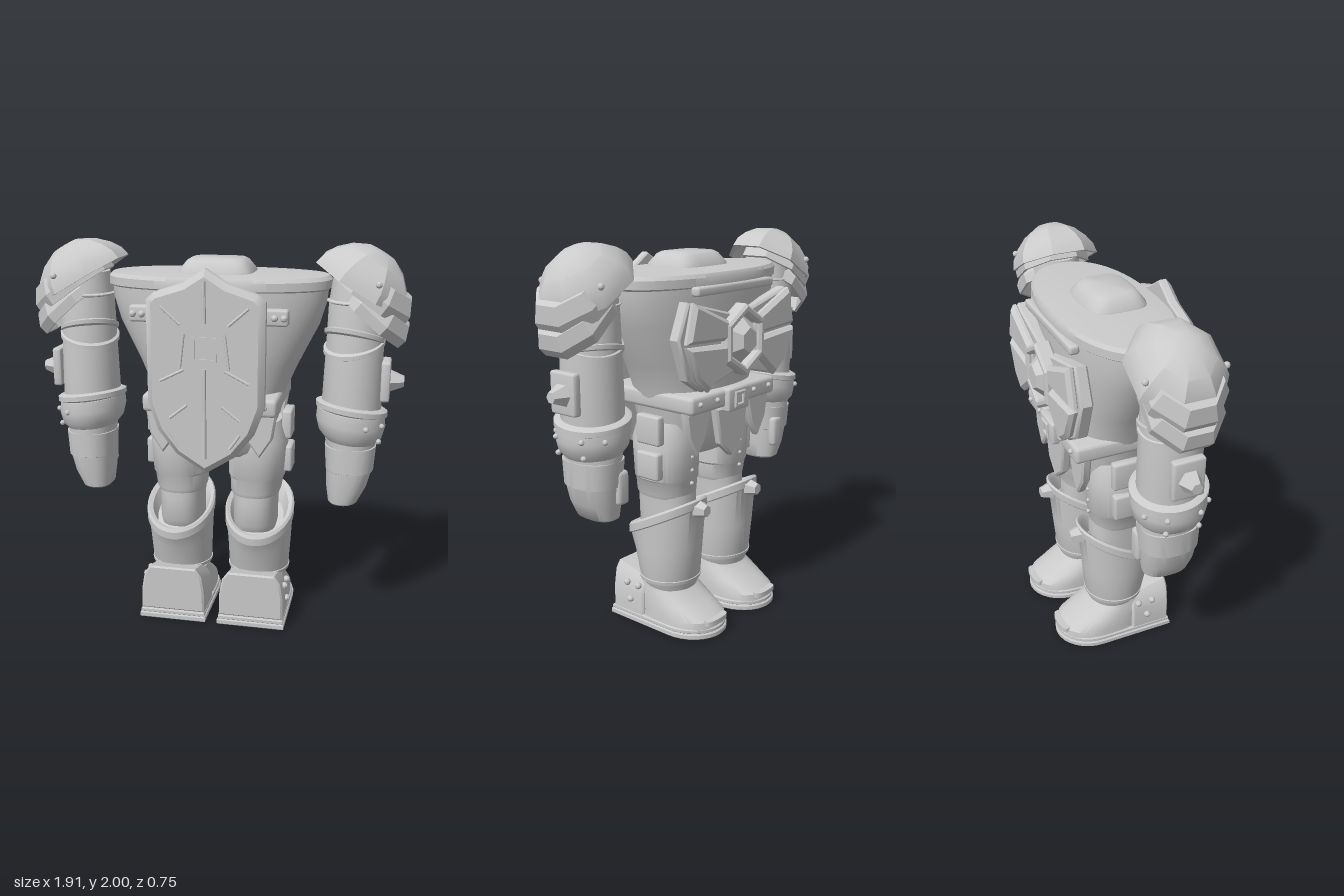
import * as THREE from 'three';
import { toCreasedNormals } from 'three/addons/utils/BufferGeometryUtils.js';
import { RoundedBoxGeometry } from 'three/addons/geometries/RoundedBoxGeometry.js';

const steel = new THREE.MeshStandardMaterial({ color: 0xcacaca });
steel.name = 'steel';

// Skin of stacked superellipse rings [y, rx, rz, cx, cz, tz]; tx, tz slope the rings
function loft(rings, { n = 40, p = 2, tx = 0, tz = 0, phase = 0 } = {}) {
  const pos = [], idx = [];
  const bend = v => Math.sign(v) * Math.abs(v) ** (2 / p);
  for (const [y, rx, rz, cx = 0, cz = 0, slope = tz] of rings) {
    for (let j = 0; j < n; j++) {
      const a = phase + j / n * Math.PI * 2;
      const x = rx * bend(Math.cos(a)), z = rz * bend(Math.sin(a));
      pos.push(cx + x, y + tx * x + slope * z, cz + z);
    }
  }
  for (let i = 0; i < rings.length - 1; i++) {
    for (let j = 0; j < n; j++) {
      const a = i * n + j, b = i * n + (j + 1) % n;
      idx.push(a, a + n, b, b, a + n, b + n);
    }
  }
  const last = rings.length - 1;
  for (const i of [0, last]) {
    const [y, , , cx = 0, cz = 0] = rings[i], c = pos.length / 3;
    pos.push(cx, y, cz);
    for (let j = 0; j < n; j++) {
      const a = i * n + j, b = i * n + (j + 1) % n;
      idx.push(c, ...(i ? [b, a] : [a, b]));
    }
  }
  const g = new THREE.BufferGeometry();
  g.setAttribute('position', new THREE.Float32BufferAttribute(pos, 3));
  g.setIndex(idx);
  return g;
}

// Bevelled plate with its outline in x,y, filling z0..z1
function plate(points, z0, z1, bevel = 0.01, holes = []) {
  const s = new THREE.Shape(points.map(q => new THREE.Vector2(...q)));
  for (const h of holes) s.holes.push(new THREE.Path(h.map(q => new THREE.Vector2(...q))));
  return new THREE.ExtrudeGeometry(s, {
    depth: z1 - z0 - 2 * bevel, bevelEnabled: bevel > 0, bevelSize: bevel,
    bevelThickness: bevel, bevelSegments: 1, bevelOffset: -bevel, curveSegments: 16,
  }).translate(0, 0, z0 + bevel);
}

const box = (w, h, d, x, y, z, r = 0.012) => new RoundedBoxGeometry(w, h, d, 2, r).translate(x, y, z);
const rivet = (x, y, z, r = 0.014) => new THREE.SphereGeometry(r, 10, 8).translate(x, y, z);
const mirrored = pts => [...pts, ...pts.slice().reverse().filter(q => q[0] > 0).map(([x, y]) => [-x, y])];
const square = r => [[-r, -r], [r, -r], [r, r], [-r, r]];
const ngon = (n, r, sy = 1) => Array.from({ length: n }, (_, i) => {
  const a = i / n * Math.PI * 2 + Math.PI / 2;
  return [r * Math.cos(a), r * sy * Math.sin(a)];
});

function flipX(g) {
  const a = g.attributes.position, v = new THREE.Vector3(), w = new THREE.Vector3();
  for (let i = 0; i < a.count; i += 3) {
    v.fromBufferAttribute(a, i + 1); w.fromBufferAttribute(a, i + 2);
    a.setXYZ(i + 1, w.x, w.y, w.z); a.setXYZ(i + 2, v.x, v.y, v.z);
  }
  for (let i = 0; i < a.count; i++) a.setX(i, -a.getX(i));
}

export function createModel() {
  const model = new THREE.Group();
  model.name = 'armouredFigure';

  const add = (name, geo, crease = 0.6, flip = false) => {
    const g = geo.index ? geo.toNonIndexed() : geo.clone();
    for (const k of Object.keys(g.attributes)) if (k !== 'position') g.deleteAttribute(k);
    g.clearGroups();
    if (flip) flipX(g);
    const m = new THREE.Mesh(toCreasedNormals(g, crease), steel);
    m.name = name;
    model.add(m);
  };
  const pair = (name, geo, crease) => {
    add('left' + name, geo, crease);
    add('right' + name, geo, crease, true);
  };

  // Torso, collar rim and neck
  add('torso', loft([[1.13, 0.32, 0.23], [1.25, 0.345, 0.235], [1.4, 0.41, 0.25], [1.6, 0.51, 0.265],
    [1.72, 0.545, 0.27], [1.78, 0.55, 0.27]], { n: 56, p: 2.3 }));
  add('collarRim', loft([[1.775, 0.55, 0.265], [1.785, 0.567, 0.277], [1.825, 0.567, 0.277], [1.843, 0.55, 0.265],
    [1.855, 0.3, 0.16]], { n: 56, p: 2.3 }));
  add('neck', loft([[1.84, 0.19, 0.155, 0, 0.03], [1.865, 0.185, 0.15, 0, 0.03], [1.91, 0.15, 0.115, 0, 0.03],
    [1.922, 0.13, 0.095, 0, 0.03]], { p: 4 }));

  // Shield on the +z side with bevelled edge and raised bars
  const outline = mirrored([[0, 0.89], [0.15, 0.985], [0.24, 1.1], [0.29, 1.24], [0.29, 1.75], [0.25, 1.785],
    [0.11, 1.83], [0, 1.9]]);
  add('shield', plate(outline, 0.3, 0.37, 0.03));
  add('shieldBack', plate(outline, 0.3, 0.34, 0.008));
  const bar = (x, y, len, a = 0, w = 0.014) => add('shieldBar',
    new THREE.CylinderGeometry(w / 2, w / 2, len, 8).rotateZ(a).translate(x, y, 0.37));
  bar(0, 1.745, 0.2, 0, 0.02); bar(0, 1.2, 0.45, 0, 0.02);
  for (const s of [1, -1]) {
    bar(s * 0.165, 1.68, 0.13, -s * 0.85);
    bar(s * 0.11, 1.51, 0.17, s * 0.12);
    bar(s * 0.16, 1.39, 0.13, s * 1.1);
    bar(s * 0.13, 1.21, 0.11, s * 0.9);
    bar(s * 0.15, 1.07, 0.09, -s * 0.6);
  }
  add('shieldSquare', plate(square(0.06), 0.368, 0.377, 0, [square(0.046)]).translate(0, 1.52, 0));
  add('shieldStrap', box(0.78, 0.08, 0.06, 0, 1.67, 0.27));
  for (const x of [0.325, 0.37]) pair('StrapRivet', rivet(x, 1.67, 0.3, 0.017));

  // Chest emblem on the -z side: backing, two wings, framed gem
  add('emblemBacking', plate(mirrored([[0, 1.36], [0.28, 1.29], [0.39, 1.36], [0.46, 1.56], [0.39, 1.73], [0, 1.63]]),
    -0.305, -0.24));
  pair('UpperWing', plate([[0.1, 1.52], [0.43, 1.54], [0.38, 1.73], [0.1, 1.61]], -0.345, -0.29, 0.02));
  pair('LowerWing', plate([[0.1, 1.43], [0.27, 1.29], [0.36, 1.36], [0.43, 1.525], [0.1, 1.505]], -0.345, -0.29, 0.02));
  add('gemFrame', plate(ngon(6, 0.17, 1.05), -0.355, -0.27, 0.012, [ngon(6, 0.125, 1.05)]).translate(0, 1.51, 0));
  add('chestGem', new THREE.CylinderGeometry(0.06, 0.125, 0.07, 6).rotateX(-Math.PI / 2)
    .scale(1, 1.05, 1).translate(0, 1.51, -0.335), 0.1);
  add('chestBar', box(0.6, 0.045, 0.05, 0, 1.765, -0.265));

  // Belt, buckle and pelvis
  add('belt', box(0.68, 0.09, 0.57, 0, 1.22, 0, 0.02));
  add('buckle', box(0.17, 0.12, 0.05, 0, 1.21, -0.285));
  add('buckleFrame', plate(square(0.04), -0.32, -0.3, 0.004, [square(0.022)]).translate(0, 1.21, 0));
  for (const x of [0.15, 0.28]) for (const z of [-0.287, 0.287]) pair('BeltRivet', rivet(x, 1.225, z));
  add('pelvis', loft([[0.925, 0.25, 0.17], [0.95, 0.275, 0.195], [1.06, 0.3, 0.22], [1.2, 0.33, 0.24]], { p: 2.6 }));
  add('frontTasset', plate(mirrored([[0, 0.9], [0.09, 0.98], [0.13, 1.17]]), -0.27, -0.22));
  for (const z of [-0.25, 0.19])
    pair('HipTasset', plate([[0.15, 1.18], [0.19, 1.03], [0.25, 0.95], [0.315, 1.05], [0.335, 1.18]], z, z + 0.05));

  // Arms, tilted wraps and cuffs
  pair('Arm', loft([[0.99, 0.125, 0.15, 0.69, 0.035], [1.2, 0.15, 0.155, 0.685, 0.035], [1.5, 0.142, 0.147, 0.69, 0.03],
    [1.72, 0.135, 0.14, 0.69, 0.03], [1.84, 0.118, 0.12, 0.69, 0.03]]));
  const band = (name, y, h, rx, rz, tx, tz) => pair(name, loft([[y, rx - 0.02, rz - 0.02, 0.687, 0.033],
    [y + 0.01, rx, rz, 0.687, 0.033], [y + h - 0.01, rx, rz, 0.687, 0.033],
    [y + h, rx - 0.02, rz - 0.02, 0.687, 0.033]], { tx, tz }));
  band('ShoulderSeam', 1.715, 0.025, 0.142, 0.147, 0, 0);
  band('UpperWrap', 1.53, 0.04, 0.15, 0.157, -0.15, 0.3);
  band('LowerWrap', 1.49, 0.04, 0.152, 0.159, 0.15, -0.25);
  pair('Cuff', loft([[1.02, 0.125, 0.145, 0.685, 0.035], [1.06, 0.16, 0.175, 0.685, 0.035],
    [1.12, 0.175, 0.185, 0.685, 0.035], [1.18, 0.17, 0.18, 0.685, 0.035]], { tx: -0.12 }));
  band('CuffBand', 1.165, 0.045, 0.18, 0.188, -0.14, 0.08);
  for (const z of [-0.05, 0.12]) for (const y of [1.04, 1.12]) pair('CuffRivet', rivet(y > 1.1 ? 0.843 : 0.832, y, z));
  for (const z of [-0.13, 0.2]) pair('CuffSideRivet', rivet(0.77, 1.12, z));
  pair('ArmPlate', box(0.045, 0.2, 0.16, 0.85, 1.34, 0.035));
  pair('ArmStud', new THREE.CylinderGeometry(0.028, 0.058, 0.07, 6).rotateZ(-Math.PI / 2)
    .translate(0.905, 1.335, 0.035), 0.1);

  // Mitten hands with thumbs
  pair('Hand', loft([[0.69, 0.065, 0.1, 0.66, 0.04], [0.7, 0.077, 0.115, 0.663, 0.04], [0.78, 0.103, 0.13, 0.677, 0.04],
    [0.87, 0.116, 0.138, 0.687, 0.04], [0.872, 0.121, 0.144, 0.69, 0.038], [1.0, 0.13, 0.15, 0.69, 0.035]], { p: 2.4 }));
  pair('Thumb', box(0.075, 0.17, 0.05, 0.635, 0.86, -0.09, 0.02));

  // Faceted pauldrons: tilted dome over two hollow lames
  const facets = { n: 8, phase: Math.PI / 8 };
  const shell = (name, rings, tilt, x, y) => pair(name, loft(rings.map(([h, r]) => [h, r, r * 0.87]), facets)
    .rotateZ(-tilt).translate(x, y, 0.03), 0.5);
  shell('PauldronDome', [[0.12, 0.14], [0.08, 0.2], [0, 0.245], [0, 0.262], [0.05, 0.25], [0.1, 0.215], [0.155, 0.155],
    [0.195, 0.075], [0.2, 0.02]], 0.53, 0.702, 1.793);
  shell('UpperLame', [[0.1, 0.18], [0, 0.21], [0, 0.228], [0.06, 0.228], [0.13, 0.18]], 0.61, 0.742, 1.735);
  shell('LowerLame', [[0.08, 0.18], [0, 0.2], [0, 0.216], [0.05, 0.22], [0.11, 0.18]], 0.72, 0.75, 1.645);
  for (const z of [-0.16, 0.22]) pair('PauldronRivet', rivet(0.8, 1.83, z, 0.016));

  // Thighs, knees and hip pouches
  pair('Thigh', loft([[0.7, 0.125, 0.15, 0.2, 0.005], [0.72, 0.133, 0.157, 0.2, 0.005], [0.79, 0.14, 0.16, 0.205, 0],
    [0.8, 0.148, 0.165, 0.205, 0], [1.0, 0.155, 0.17, 0.21, 0], [1.1, 0.13, 0.15, 0.2, 0]], { p: 2.3 }));
  pair('Knee', loft([[0.5, 0.11, 0.13, 0.2, 0], [0.54, 0.116, 0.15, 0.2, 0], [0.66, 0.116, 0.155, 0.2, 0],
    [0.74, 0.125, 0.15, 0.2, 0]], { p: 2.4 }));
  for (const y of [0.78, 0.85, 0.92]) pair('ThighRivet', rivet(0.2, y, -0.166, 0.011));
  pair('HipPouch', box(0.05, 0.15, 0.15, 0.36, 1.075, -0.03));
  pair('ThighPouch', box(0.05, 0.14, 0.14, 0.365, 0.89, -0.03));

  // Greaves: hollow at the sloping top, with a raised rim and hexagonal knee stud
  pair('Greave', loft([[0.21, 0.14, 0.14, 0.215, -0.03, 0], [0.25, 0.157, 0.15, 0.215, -0.03, 0],
    [0.27, 0.162, 0.157, 0.215, -0.03, 0], [0.42, 0.17, 0.18, 0.217, -0.025, -0.18],
    [0.555, 0.178, 0.205, 0.217, -0.018, -0.5], [0.56, 0.185, 0.215, 0.217, -0.016, -0.5],
    [0.6, 0.185, 0.218, 0.217, -0.016, -0.5], [0.612, 0.175, 0.208, 0.217, -0.016, -0.5],
    [0.6, 0.155, 0.185, 0.215, -0.016, -0.5], [0.53, 0.13, 0.16, 0.215, -0.016, -0.5]]));
  pair('AnkleBand', loft([[0.245, 0.15, 0.145, 0.215, -0.03], [0.25, 0.164, 0.158, 0.215, -0.03],
    [0.268, 0.167, 0.161, 0.215, -0.03], [0.273, 0.155, 0.15, 0.215, -0.03]]));
  pair('KneeStud', new THREE.CylinderGeometry(0.03, 0.05, 0.06, 6).rotateX(-Math.PI / 2)
    .translate(0.215, 0.66, -0.25), 0.1);

  // Boots: sole layers, square heel guard, sloping rounded toe
  const soleShape = (w, back, front) => {
    const pts = [[-w, -back], [w, -back]];
    for (let i = 0; i <= 16; i++) {
      const a = i / 16 * Math.PI;
      pts.push([w * Math.cos(a), front - 0.2 + 0.2 * Math.sin(a)]);
    }
    return pts;
  };
  const sole = (w, back, front, y0, y1) => plate(soleShape(w, back, front), y0, y1, 0.005)
    .rotateX(-Math.PI / 2).translate(0.212, 0, 0);
  pair('Sole', sole(0.18, 0.24, 0.365, 0, 0.03));
  pair('SoleWelt', sole(0.174, 0.235, 0.358, 0.028, 0.052));
  pair('Toe', loft([[0.045, 0.168, 0.25, 0.212, -0.1], [0.085, 0.166, 0.245, 0.212, -0.1],
    [0.14, 0.162, 0.2, 0.212, -0.055], [0.2, 0.152, 0.15, 0.212, -0.005], [0.24, 0.145, 0.12, 0.212, 0]], { p: 2.5 }));
  pair('ToeCap', loft([[0.07, 0.08, 0.03, 0.212, -0.335], [0.095, 0.08, 0.03, 0.212, -0.335]], { p: 2.5 }));
  const heel = [[-0.172, 0.05], [0.172, 0.05], [0.17, 0.17], [0.155, 0.26], [0.125, 0.302], [-0.125, 0.302],
    [-0.155, 0.26], [-0.17, 0.17]];
  const heelGeo = plate(heel, 0.015, 0.23, 0.01), hp = heelGeo.attributes.position;
  for (let i = 0; i < hp.count; i++) // lower the top toward the toe
    if (hp.getY(i) > 0.2) hp.setY(i, hp.getY(i) - (0.23 - hp.getZ(i)) * 0.25);
  pair('HeelGuard', heelGeo.translate(0.212, 0, 0));
  for (const [y, z] of [[0.21, 0.13], [0.21, 0.05], [0.125, 0.1]])
    pair('HeelRivet', rivet(y > 0.2 ? 0.38 : 0.388, y, z, 0.018));

  return model;
}
